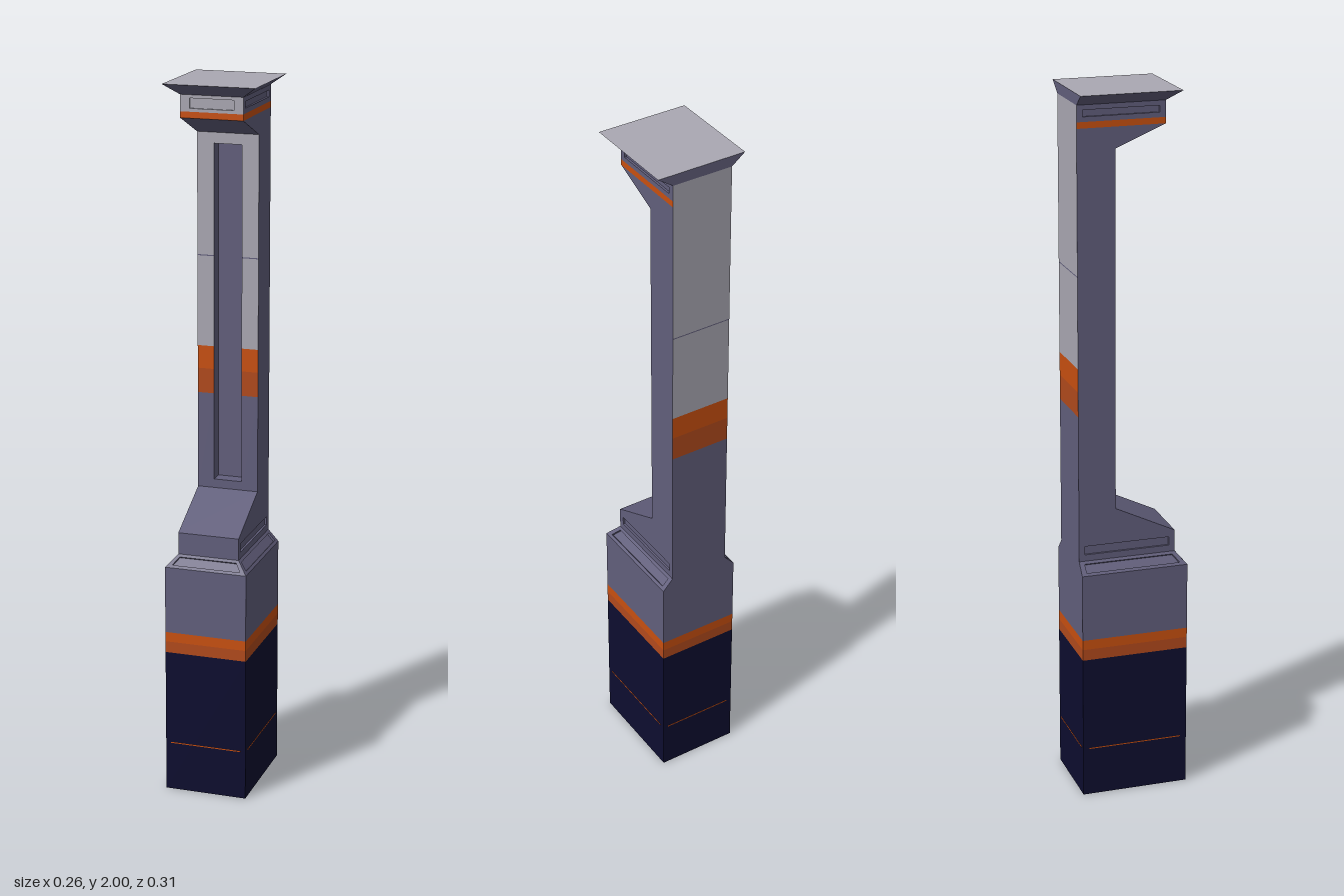
import * as THREE from 'three';

const paint = (name, color) => {
  const m = new THREE.MeshStandardMaterial({ color });
  m.name = name;
  return m;
};

export function createModel() {
  const slate = paint('slate', 0x625f7c);
  const grey = paint('light grey', 0xaaa8b3);
  const orange = paint('bright orange', 0xc95010);
  const rust = paint('dark orange', 0xb24a1c);
  const navy = paint('navy', 0x0d0d2f);

  const model = new THREE.Group();
  model.name = 'pillar';
  const BACK = -0.153;  // flush back plane
  const SHIFT = -0.0025; // the body sits slightly off the cap's centre

  const V = (x, y, z) => new THREE.Vector3(x, y, z);

  // Flat faces from quads, corners counter-clockwise seen from outside
  function faces(parent, name, material, quads) {
    const pts = quads.flatMap(([a, b, c, d]) => [a, b, c, a, c, d]);
    const geo = new THREE.BufferGeometry().setFromPoints(pts);
    geo.computeVertexNormals();
    const mesh = new THREE.Mesh(geo, material);
    mesh.name = name;
    parent.add(mesh);
  }

  // Quads of a face with a sunken panel; mu, mv are margins as fractions
  function sunken([a, b, c, d], mu, mv, depth, frame = true) {
    const at = (u, v) => a.clone().lerp(b, u).lerp(d.clone().lerp(c, u), v);
    const rim = [at(mu, mv), at(1 - mu, mv), at(1 - mu, 1 - mv), at(mu, 1 - mv)];
    const inward = b.clone().sub(a).cross(d.clone().sub(a)).normalize().multiplyScalar(-depth);
    const floor = rim.map(p => p.clone().add(inward));
    const outer = [a, b, c, d];
    const quads = [floor];
    for (let i = 0; i < 4; i++) {
      const j = (i + 1) % 4;
      quads.push([rim[i], rim[j], floor[j], floor[i]]);
      if (frame) quads.push([outer[i], outer[j], rim[j], rim[i]]);
    }
    return quads;
  }

  // One storey between two outlines [half width, front z, y]
  function band(name, lo, hi, mats, opt = {}) {
    const group = new THREE.Group();
    group.name = name;
    const ring = ([w, z, y], s) => [V(s - w, y, z), V(s + w, y, z), V(s + w, y, BACK), V(s - w, y, BACK)];
    const l = ring(lo, opt.loShift ?? SHIFT), h = ring(hi, opt.hiShift ?? SHIFT);
    ['front', 'left', 'back', 'right'].forEach((side, i) => {
      const j = (i + 1) % 4;
      const quad = [l[i], l[j], h[j], h[i]];
      const mat = mats[side] ?? mats.sides ?? mats.all;
      const inset = opt[side] ?? (i % 2 ? opt.sides : undefined);
      if (side === 'front' && opt.gap) {
        // leave the middle open for the long groove
        const [w, z] = lo;
        const strip = (x0, x1) => [V(x0, lo[2], z), V(x1, lo[2], z), V(x1, hi[2], z), V(x0, hi[2], z)];
        faces(group, name + ' front', mat, [strip(SHIFT - w, SHIFT - opt.gap), strip(SHIFT + opt.gap, SHIFT + w)]);
      } else {
        faces(group, `${name} ${side}`, mat, inset ? sunken(quad, ...inset) : [quad]);
      }
    });
    if (opt.bottom) faces(group, name + ' underside', opt.bottom, [[l[3], l[2], l[1], l[0]]]);
    if (opt.top) faces(group, name + ' top', opt.top, [h]);
    model.add(group);
  }

  // Plinth
  const base = y => [0.1175, 0.153, y];
  band('plinth', base(0), base(0.415), { all: navy }, { bottom: navy });
  band('plinth lower stripe', base(0.415), base(0.447), { all: rust });
  band('plinth upper stripe', base(0.447), base(0.475), { all: orange });
  band('plinth block', base(0.475), base(0.667), { all: slate });

  // Thin accent lines around the plinth
  const accent = new THREE.Group();
  accent.name = 'plinth accent lines';
  const line = (w, d, x, z) => {
    const m = new THREE.Mesh(new THREE.BoxGeometry(w, 0.003, d), orange);
    m.name = 'accent line';
    m.position.set(x, 0.142, z);
    accent.add(m);
  };
  for (const s of [-1, 1]) {
    line(0.205, 0.001, SHIFT, s * 0.153);
    line(0.001, 0.27, SHIFT + s * 0.1175, 0);
  }
  model.add(accent);

  // Bevelled collar and foot
  const W = 0.0875, FRONT = -0.047;
  band('collar', base(0.667), [W, 0.125, 0.7], { all: slate },
    { front: [0.06, 0.2, 0.006], sides: [0.05, 0.2, 0.006], top: slate });
  band('foot', [W, 0.125, 0.7], [W, 0.125, 0.762], { all: slate }, { sides: [0.06, 0.3, 0.006] });
  band('foot slope', [W, 0.125, 0.762], [W, FRONT, 0.845], { all: slate });

  // Column, coloured on front and back, with a groove down the front
  const G = 0.04, col = y => [W, FRONT, y];
  [['column lower', 0.845, 1.12, slate], ['column lower stripe', 1.12, 1.19, rust],
    ['column upper stripe', 1.19, 1.255, orange], ['column middle', 1.255, 1.509, grey],
    ['column seam', 1.509, 1.512, slate], ['column upper', 1.512, 1.85, grey]]
    .forEach(([name, y0, y1, m]) =>
      band(name, col(y0), col(y1), { front: m, back: m, sides: slate }, { gap: G }));

  const grooveQuad = (y0, y1) => [V(SHIFT - G, y0, FRONT), V(SHIFT + G, y0, FRONT), V(SHIFT + G, y1, FRONT), V(SHIFT - G, y1, FRONT)];
  faces(model, 'groove', slate, sunken(grooveQuad(0.87, 1.82), 0, 0, 0.04, false));
  faces(model, 'groove sill', slate, [grooveQuad(0.845, 0.87)]);
  faces(model, 'groove lintel', grey, [grooveQuad(1.82, 1.85)]);

  // Overhanging head
  const head = y => [W, 0.092, y];
  band('head slope', col(1.85), head(1.908), { front: slate, back: grey, sides: slate });
  band('head stripe', head(1.908), head(1.925), { front: orange, back: grey, sides: orange });
  band('head', head(1.925), head(1.97), { front: grey, back: grey, sides: slate },
    { front: [0.15, 0.2, 0.005], sides: [0.07, 0.3, 0.006] });

  // Flared cap
  band('cap', head(1.97), [0.1285, 0.127, 2], { all: slate }, { hiShift: 0, top: grey });

  return model;
}
